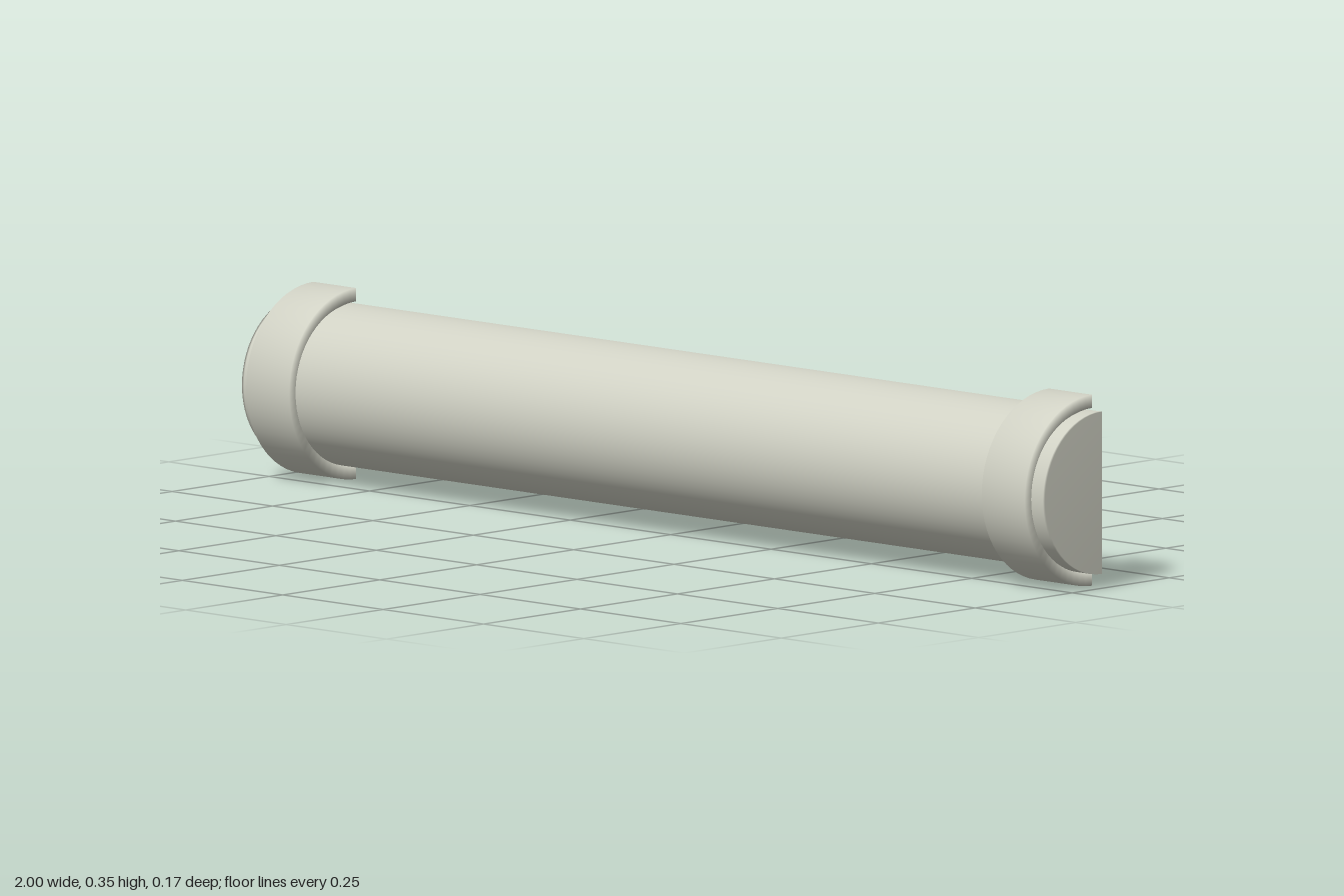
import * as THREE from 'three';

const CENTER_Y = 0.173;
const SEGMENTS = 32;

// Revolve a profile of [radius, position along x] through the front half turn, about the x axis
function halfTurn(points) {
  const profile = points.map(([r, t]) => new THREE.Vector2(r, t));
  return new THREE.LatheGeometry(profile, SEGMENTS, -Math.PI / 2, Math.PI).rotateZ(-Math.PI / 2);
}

export function createModel() {
  const model = new THREE.Group();
  model.name = 'halfPipe';
  const stone = new THREE.MeshStandardMaterial({ color: 0xd0d1c4, side: THREE.DoubleSide });
  stone.name = 'paleStone';

  // Thin half tube, open at the back, closed at both ends
  const r = 0.147;
  const shell = new THREE.Mesh(halfTurn([
    [0, -1], [r, -1], [r, -0.995], [r, 0.995], [r, 1], [0, 1],
  ]), stone);
  shell.name = 'shell';
  shell.position.set(0, CENTER_Y, -0.077);
  model.add(shell);

  // Thick half-ring collars near the ends
  const inner = 0.149, outer = 0.173, w = 0.0535;
  const ringGeometry = halfTurn([
    [inner, 0], [inner, -w], [outer, -w], [outer, w], [inner, w], [inner, 0],
  ]);
  const endGeometry = new THREE.PlaneGeometry(2 * w, outer - inner).rotateY(Math.PI);
  for (const [name, x] of [['leftCollar', 0.912], ['rightCollar', -0.92]]) {
    const collar = new THREE.Group();
    collar.name = name;
    collar.position.set(x, CENTER_Y, -0.0865);
    const ring = new THREE.Mesh(ringGeometry, stone);
    ring.name = 'collarRing';
    collar.add(ring);
    // Flat back ends of the half ring
    for (const side of [1, -1]) {
      const end = new THREE.Mesh(endGeometry, stone);
      end.name = 'collarEnd';
      end.position.y = side * (inner + outer) / 2;
      collar.add(end);
    }
    model.add(collar);
  }
  return model;
}
